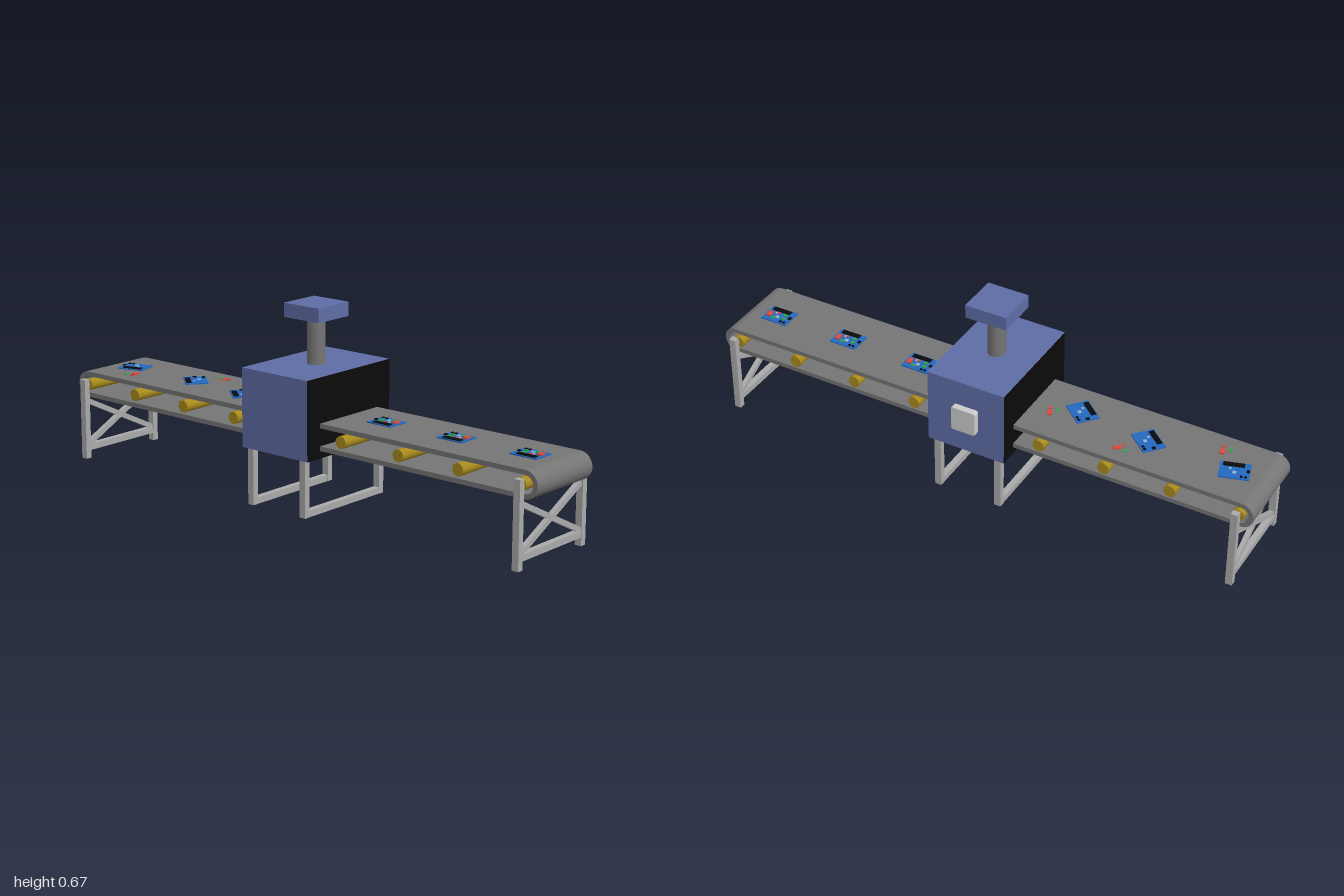
import * as THREE from 'three';

const mat = (color) => new THREE.MeshStandardMaterial({ color });
const M = {
  blue: mat(0x5f6da5), black: mat(0x0a0a0a), belt: mat(0x757575), steel: mat(0xaaaaaa),
  panel: mat(0xcccccc), roller: mat(0xa88a1c), board: mat(0x2468c0), red: mat(0xe04838),
  green: mat(0x35a845), pale: mat(0x8fb4d8),
};
const ZC = 0.013; // centre line of the conveyor

function add(parent, name, geometry, material, x = 0, y = 0, z = 0) {
  const mesh = new THREE.Mesh(geometry, material);
  mesh.name = name;
  mesh.position.set(x, y, z);
  parent.add(mesh);
  return mesh;
}
const box = (parent, name, m, w, h, d, x, y, z) =>
  add(parent, name, new THREE.BoxGeometry(w, h, d), m, x, y, z);

function group(parent, name, x = 0, y = 0, z = 0) {
  const g = new THREE.Group();
  g.name = name;
  g.position.set(x, y, z);
  parent.add(g);
  return g;
}

// Outline of a long slot with round ends
function stadium(path, half, r) {
  path.moveTo(-half, -r);
  path.lineTo(half, -r);
  path.absarc(half, 0, r, -Math.PI / 2, Math.PI / 2, false);
  path.lineTo(-half, r);
  path.absarc(-half, 0, r, Math.PI / 2, Math.PI * 1.5, false);
  return path;
}

// Cylinder lying along z
function rod(parent, name, m, r, length, x, y, z) {
  const geo = new THREE.CylinderGeometry(r, r, length, 24).rotateX(Math.PI / 2);
  return add(parent, name, geo, m, x, y, z);
}

// Square-section support with two posts and a cross bar
function frame(parent, name, x, height, halfWidth, barY) {
  const g = group(parent, name, x, 0, ZC);
  for (const s of [-1, 1]) box(g, 'post', M.steel, 0.024, height, 0.022, 0, height / 2, s * halfWidth);
  box(g, 'crossBar', M.steel, 0.022, 0.022, halfWidth * 2 - 0.02, 0, barY, 0);
  return g;
}

// Circuit board; finished boards carry the coloured chips
function circuitBoard(parent, x, z, angle, finished) {
  const g = group(parent, 'circuitBoard', x, 0.312, z);
  g.rotation.y = angle;
  box(g, 'boardPlate', M.board, 0.1, 0.004, 0.08, 0, 0.002, 0);
  const part = (name, m, w, d, px, pz, h = 0.003) => box(g, name, m, w, h, d, px, 0.004 + h / 2, pz);
  part('connector', M.black, 0.07, 0.018, 0.005, 0.027);
  for (const px of [-0.038, -0.024]) part('capacitor', M.black, 0.008, 0.008, px, -0.03);
  part('cornerChip', M.black, 0.01, 0.012, -0.043, 0.0);
  part('smallChip', M.pale, 0.012, 0.012, 0.0, -0.012);
  part('smallChip', M.pale, 0.008, 0.008, 0.015, 0.006);
  if (!finished) return;
  part('redChip', M.red, 0.016, 0.026, 0.034, -0.008, 0.005);
  part('redChip', M.red, 0.014, 0.008, 0.01, 0.009);
  for (const [px, pz] of [[-0.025, -0.012], [-0.02, 0.008], [0.012, -0.022]])
    part('greenChip', M.green, 0.014, 0.01, px, pz);
}

// Loose chips lying on the belt
function looseChips(parent, x, z, angle) {
  const g = group(parent, 'looseChips', x, 0.312, z);
  g.rotation.y = angle;
  box(g, 'redChip', M.red, 0.014, 0.005, 0.026, 0.012, 0.0025, -0.012);
  box(g, 'redChip', M.red, 0.012, 0.003, 0.008, 0.016, 0.0015, 0.014);
  box(g, 'greenChip', M.green, 0.008, 0.003, 0.02, -0.012, 0.0015, 0.006);
}

export function createModel() {
  const model = new THREE.Group();
  model.name = 'conveyorMachine';

  // Belt loop
  const conveyor = group(model, 'conveyor');
  const loop = stadium(new THREE.Shape(), 0.953, 0.046);
  loop.holes.push(stadium(new THREE.Path(), 0.953, 0.03));
  const beltGeo = new THREE.ExtrudeGeometry(loop, { depth: 0.288, bevelEnabled: false, curveSegments: 24 });
  add(conveyor, 'belt', beltGeo, M.belt, 0, 0.266, ZC - 0.144);

  // Rollers inside the belt
  for (let i = -4; i <= 4; i++) rod(conveyor, 'roller', M.roller, 0.021, 0.299, i * 0.236 - 0.004, 0.266, ZC);

  // Braced end stands
  for (const s of [-1, 1]) {
    const x = s * 0.947;
    const stand = frame(model, 'endStand', x, 0.288, 0.1665, 0.039);
    for (const k of [-1, 1]) {
      const brace = box(stand, 'diagonalBrace', M.steel, 0.016, 0.018, 0.346, 0, 0.13, 0);
      brace.rotation.x = k * 0.465;
    }
    rod(stand, 'axle', M.steel, 0.009, 0.33, 0, 0.266, 0);
  }

  // Processing unit: blue housing with black infeed and outfeed sides
  const unit = group(model, 'processingUnit');
  add(unit, 'housing', new THREE.BoxGeometry(0.285, 0.27, 0.414),
    [M.black, M.black, M.blue, M.blue, M.blue, M.blue], -0.002, 0.33, ZC);
  for (const s of [-1, 1]) frame(unit, 'unitLegs', s * 0.114 - 0.002, 0.197, 0.188, 0.011);
  add(unit, 'exhaustPipe', new THREE.CylinderGeometry(0.031, 0.031, 0.165, 32), M.belt, -0.002, 0.545, ZC);
  box(unit, 'exhaustCap', M.blue, 0.15, 0.048, 0.15, -0.002, 0.646, ZC);

  // Control box on the back with rounded corners
  const plate = new THREE.Shape();
  const h = 0.045, r = 0.008;
  [[h, -h, -Math.PI / 2], [h, h, 0], [-h, h, Math.PI / 2], [-h, -h, Math.PI]].forEach(([x, y, a]) =>
    plate.absarc(x - Math.sign(x) * r, y - Math.sign(y) * r, r, a, a + Math.PI / 2, false));
  const plateGeo = new THREE.ExtrudeGeometry(plate, {
    depth: 0.02, bevelEnabled: true, bevelSize: 0.002, bevelOffset: -0.002, bevelThickness: 0.002, bevelSegments: 2,
  });
  add(unit, 'controlBox', plateGeo, M.panel, -0.004, 0.33, -0.215);

  // Unfinished boards with loose chips enter, finished boards leave
  const goods = group(model, 'goods');
  for (const x of [0.295, 0.58, 0.865]) circuitBoard(goods, x, 0.008, 0, true);
  circuitBoard(goods, -0.87, 0.005, 0.3, false);
  circuitBoard(goods, -0.565, 0.008, -0.7, false);
  circuitBoard(goods, -0.31, 0.04, -0.7, false);
  looseChips(goods, -0.805, 0.09, 0.15);
  looseChips(goods, -0.51, -0.07, -0.7);
  looseChips(goods, -0.225, 0.0, 0.3);

  return model;
}
